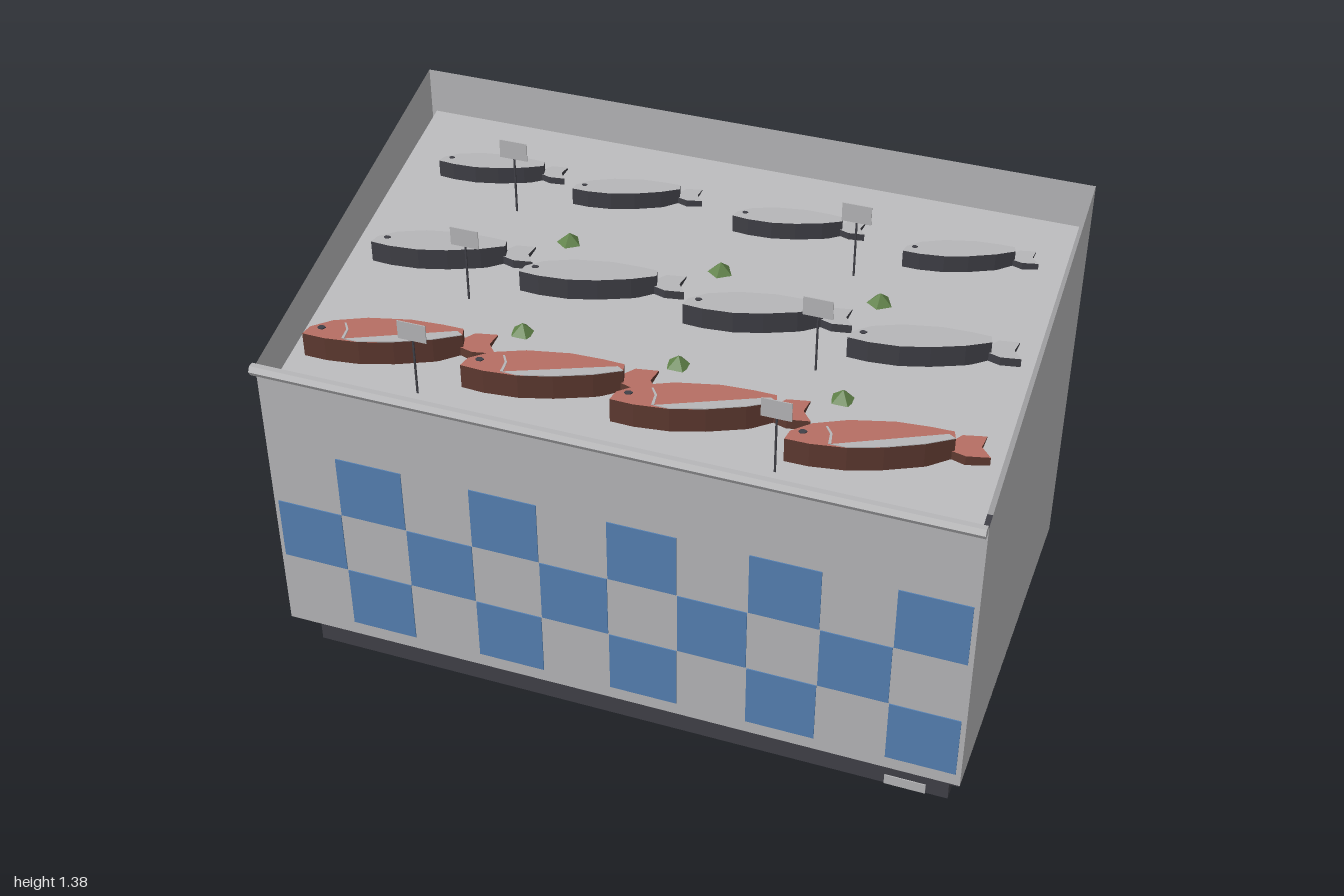
import * as THREE from 'three';

const mat = (name, color, both = false) => {
  const m = new THREE.MeshStandardMaterial({ color });
  m.name = name;
  if (both) m.side = THREE.DoubleSide;
  return m;
};

// Height of the sloping display bed at depth z
const SLOPE = 0.247;
const bedY = (z) => 1.1 - SLOPE * z;

// Flat panels, four corners each, counter-clockwise seen from outside
function panels(quads) {
  const pos = [];
  for (const [a, b, c, d] of quads) pos.push(...a, ...b, ...c, ...a, ...c, ...d);
  const g = new THREE.BufferGeometry();
  g.setAttribute('position', new THREE.Float32BufferAttribute(pos, 3));
  g.computeVertexNormals();
  return g;
}

// Walls following a rectangle, with separate heights for front and back
function walls(x, z0, z1, y0, frontTop, backTop) {
  return panels([
    [[-x, y0, z1], [x, y0, z1], [x, frontTop, z1], [-x, frontTop, z1]],
    [[x, y0, z0], [-x, y0, z0], [-x, backTop, z0], [x, backTop, z0]],
    [[x, y0, z1], [x, y0, z0], [x, backTop, z0], [x, frontTop, z1]],
    [[-x, y0, z0], [-x, y0, z1], [-x, frontTop, z1], [-x, backTop, z0]],
  ]);
}

// Horizontal slab cut from an outline; outline v points to the back
function slab(points, height, y = 0) {
  const shape = new THREE.Shape(points.map(([u, v]) => new THREE.Vector2(u, v)));
  const g = new THREE.ExtrudeGeometry(shape, { depth: height, bevelEnabled: false });
  return g.rotateX(-Math.PI / 2).translate(0, y, 0);
}

export function createModel() {
  const steel = mat('steel grey', 0xb6b6b8, true);
  const dark = mat('charcoal', 0x404047, true);
  const blue = mat('tile blue', 0x5580b2);
  const silver = mat('fish silver', 0xb6b6b8);
  const red = mat('fish red', 0xb66e63);
  const redSide = mat('fish dark red', 0x5f3a31);
  const green = mat('herb green', 0x5f8048);

  const model = new THREE.Group();
  model.name = 'fishCounter';
  const add = (parent, name, geometry, material, x = 0, y = 0, z = 0) => {
    const m = new THREE.Mesh(geometry, material);
    m.name = name;
    m.position.set(x, y, z);
    parent.add(m);
    return m;
  };
  const box = (w, h, d) => new THREE.BoxGeometry(w, h, d);

  // Plinth, open underneath, and the dark floor of the cabinet
  add(model, 'plinth', walls(0.957, -0.59, 0.47, 0, 0.145, 0.145), dark);
  add(model, 'cabinetFloor', box(2, 0.004, 1.145), dark, 0, 0.147, -0.0175);

  // Cabinet with sloping rim
  add(model, 'cabinet', walls(1, -0.59, 0.555, 0.145, 1.045, 1.36), steel);

  // Display bed, with a narrow gap to the walls
  const bz0 = -0.565, bz1 = 0.525, bx = 0.973;
  add(model, 'displayBed', panels([[
    [-bx, bedY(bz1), bz1], [bx, bedY(bz1), bz1], [bx, bedY(bz0), bz0], [-bx, bedY(bz0), bz0],
  ]]), steel);

  // Front rail and plinth plate
  const rail = new THREE.CylinderGeometry(0.017, 0.017, 2, 6).toNonIndexed();
  rail.computeVertexNormals();
  add(model, 'frontRail', rail.rotateZ(Math.PI / 2), steel, 0, 1.046, 0.575);
  add(model, 'plinthPlate', box(0.115, 0.032, 0.003), steel, 0.852, 0.11, 0.56);

  // Chequered front tiles
  const tiles = new THREE.Group();
  tiles.name = 'frontTiles';
  model.add(tiles);
  for (let row = 0; row < 3; row++) {
    for (let col = 0; col < 10; col++) {
      if ((row + col) % 2 === 0) continue;
      add(tiles, 'tile', box(0.195, 0.196, 0.004), blue,
        -0.889 + col * 0.1975, 0.288 + row * 0.199, 0.556);
    }
  }

  // Fish outlines for a fish of length 1, head at -u
  const bodyOutline = [[-0.5, -0.04], [-0.47, 0.025], [-0.36, 0.085], [-0.18, 0.115], [0.05, 0.105],
    [0.22, 0.065], [0.33, 0.03], [0.33, -0.03], [0.18, -0.075], [-0.02, -0.105], [-0.2, -0.11], [-0.38, -0.08]];
  const tailOutline = [[0.3, 0.025], [0.38, 0.095], [0.5, 0.085], [0.465, 0],
    [0.5, -0.085], [0.38, -0.075], [0.3, -0.025]];
  const bellyOutline = [[-0.28, -0.085], [0.3, 0.005], [0.33, -0.03], [0.18, -0.075], [-0.02, -0.105], [-0.2, -0.109]];
  const gillOutline = [[-0.29, -0.08], [-0.275, -0.08], [-0.265, 0.0], [-0.285, 0.06], [-0.295, 0.06], [-0.277, 0]];
  const eyeOutline = [[-0.4, 0], [-0.385, 0.015], [-0.4, 0.03], [-0.42, 0.03], [-0.43, 0.015], [-0.42, 0]];
  const T = 0.138;
  const bodyGeo = slab(bodyOutline, T);
  const tailGeo = slab(tailOutline, 0.055, 0.012);
  const eyeGeo = slab(eyeOutline, 0.005, T);
  const bellyGeo = slab(bellyOutline, 0.004, T);
  const gillGeo = slab(gillOutline, 0.004, T);

  // Three rows of four fish
  const rows = [
    { name: 'redFish', z: 0.335, length: 0.52, xs: [-0.676, -0.212, 0.21, 0.682], yaws: [0.31, 0.27, 0.3, 0.33] },
    { name: 'silverFish', z: -0.015, length: 0.455, xs: [-0.674, -0.225, 0.25, 0.709], yaws: [0.27, 0.27, 0.27, 0.27] },
    { name: 'smallSilverFish', z: -0.355, length: 0.368, xs: [-0.666, -0.25, 0.23, 0.717], yaws: [0.23, 0.32, 0.23, 0.32] },
  ];
  for (const { name, z, length, xs, yaws } of rows) {
    const isRed = name === 'redFish';
    const skin = isRed ? [red, redSide] : [silver, dark];
    xs.forEach((x, i) => {
      const fish = new THREE.Group();
      fish.name = name;
      fish.position.set(x, bedY(z), z);
      fish.rotation.y = yaws[i];
      fish.scale.setScalar(length);
      add(fish, 'fishBody', bodyGeo, skin);
      add(fish, 'fishTail', tailGeo, skin);
      add(fish, 'fishEye', eyeGeo, dark);
      if (isRed) {
        add(fish, 'fishBelly', bellyGeo, silver);
        add(fish, 'fishGill', gillGeo, silver);
      }
      model.add(fish);
    });
  }

  // Price cards on thin stems
  for (const x of [-0.575, 0.425]) {
    for (const z of [0.455, 0.11, -0.235]) {
      const top = bedY(z) + 0.227;
      const tag = new THREE.Group();
      tag.name = 'priceTag';
      add(tag, 'tagStem', box(0.005, 0.18, 0.004), dark, x, top - 0.137, z - 0.003);
      add(tag, 'tagCard', box(0.082, 0.055, 0.003), steel, x, top - 0.028, z);
      model.add(tag);
    }
  }

  // Herb sprigs between the rows
  const herb = new THREE.ConeGeometry(0.037, 0.03, 5).toNonIndexed();
  herb.computeVertexNormals();
  [-0.165, 0.18].forEach((z, r) => {
    [-0.383, 0.067, 0.522].forEach((x) => {
      const h = add(model, 'herbSprig', herb, green, x, bedY(z) + 0.012, z);
      h.rotation.y = r * Math.PI / 5;
    });
  });

  return model;
}
